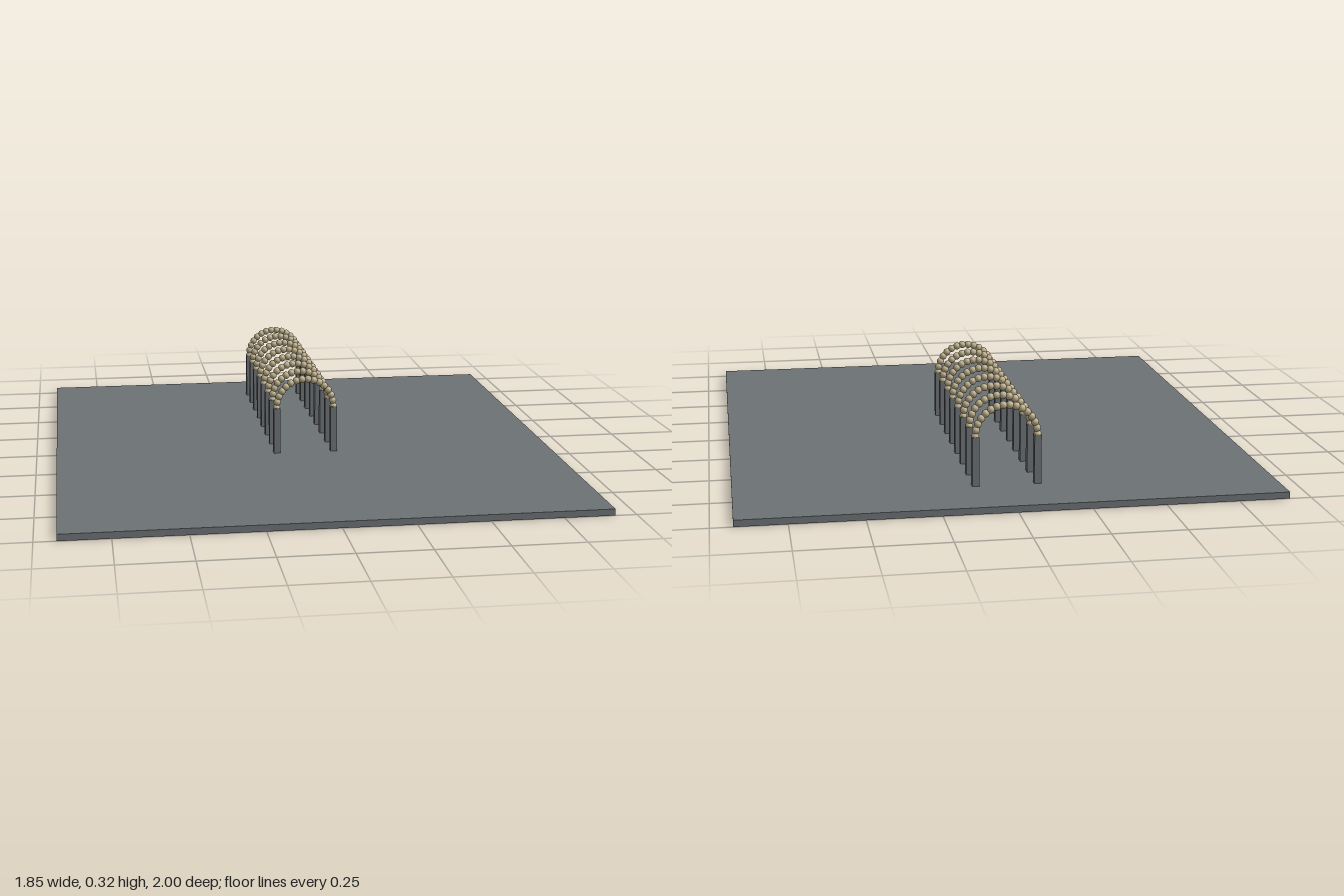
import * as THREE from 'three';

export function createModel() {
  const model = new THREE.Group();
  const slate = new THREE.MeshStandardMaterial({ color: 0x6c7174 });
  slate.name = 'slate grey';
  const sand = new THREE.MeshStandardMaterial({ color: 0xb8aa87 });
  sand.name = 'sand beige';

  const slabTop = 0.023, postTop = 0.195, radius = 0.107;
  const archCount = 8, firstZ = 0.153, pitch = 0.131, beadCount = 16;

  // Flat ground slab
  const slab = new THREE.Mesh(new THREE.BoxGeometry(1.85, slabTop, 2), slate);
  slab.name = 'groundSlab';
  slab.position.y = slabTop / 2;
  model.add(slab);

  const postGeometry = new THREE.BoxGeometry(0.024, postTop - slabTop, 0.028);
  const beadGeometry = new THREE.SphereGeometry(0.0138, 12, 8);

  // One arch: two square posts joined by a half circle of beads
  function createArch() {
    const arch = new THREE.Group();
    for (const side of [-1, 1]) {
      const post = new THREE.Mesh(postGeometry, slate);
      post.name = side > 0 ? 'leftPost' : 'rightPost';
      post.position.set(side * radius, (postTop + slabTop) / 2, 0);
      arch.add(post);
    }
    for (let i = 0; i < beadCount; i++) {
      const angle = Math.PI * i / (beadCount - 1);
      const bead = new THREE.Mesh(beadGeometry, sand);
      bead.name = 'archBead';
      bead.position.set(radius * Math.cos(angle), postTop + radius * Math.sin(angle), 0);
      arch.add(bead);
    }
    return arch;
  }

  // Row of arches running towards the back
  for (let i = 0; i < archCount; i++) {
    const arch = createArch();
    arch.name = 'arch' + (i + 1);
    arch.position.z = firstZ - i * pitch;
    model.add(arch);
  }
  return model;
}
